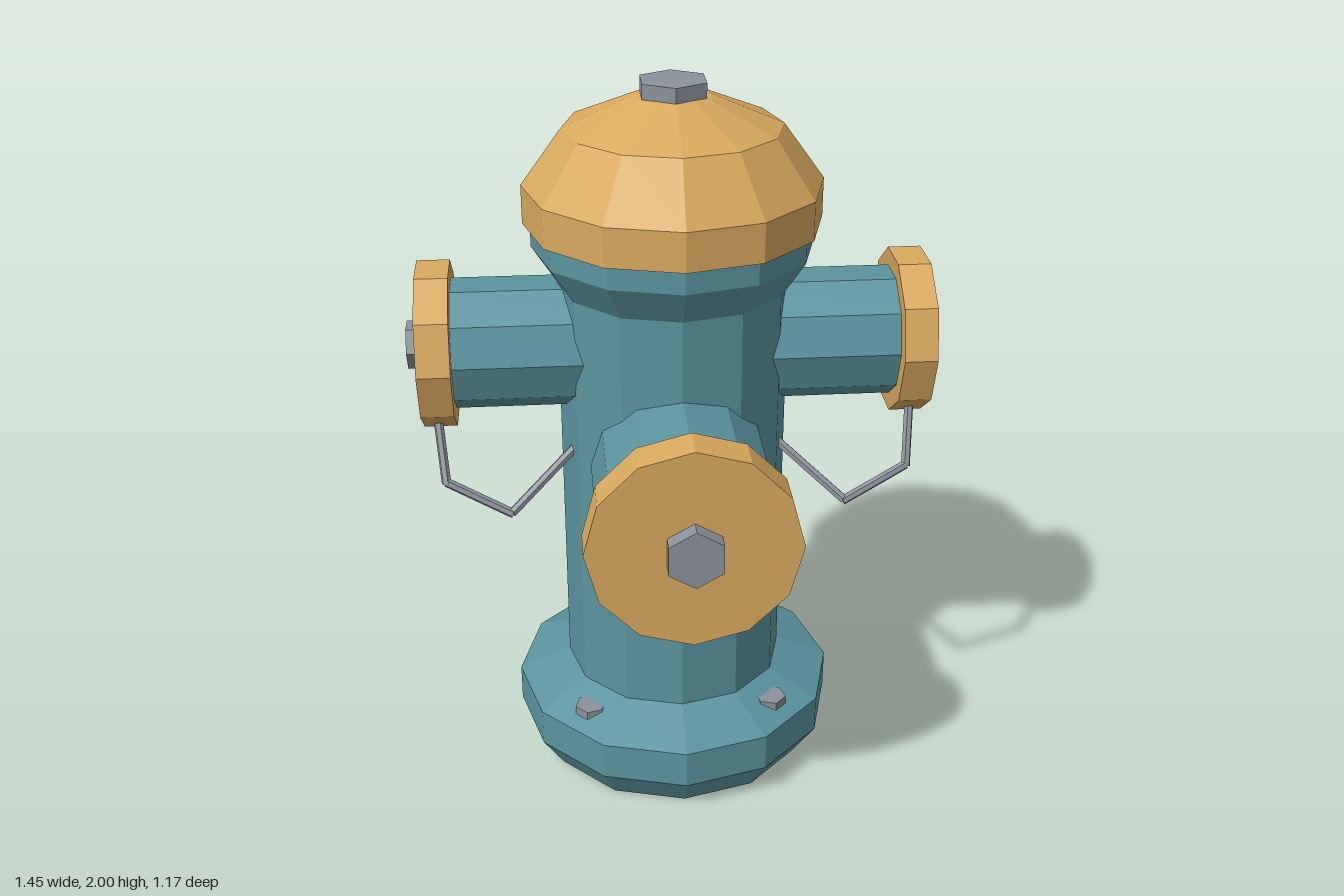
import * as THREE from 'three';

const paint = (color) => new THREE.MeshStandardMaterial({ color, flatShading: true });
const CZ = -0.12; // z of the barrel axis

export function createModel() {
  const teal = paint(0x5b949e), yellow = paint(0xd9a95f), steel = paint(0x8c929b);
  const model = new THREE.Group();
  model.name = 'fireHydrant';

  const add = (parent, name, geometry, material) => {
    const mesh = new THREE.Mesh(geometry, material);
    mesh.name = name;
    parent.add(mesh);
    return mesh;
  };
  const lathe = (points) =>
    new THREE.LatheGeometry(points.map(([r, y]) => new THREE.Vector2(r, y)), 12);
  // Prism along +y from y0 to y1
  const prism = (radius, y0, y1, sides) =>
    new THREE.CylinderGeometry(radius, radius, y1 - y0, sides).translate(0, (y0 + y1) / 2, 0);

  // Barrel with flared foot and collar
  add(model, 'barrel', lathe([
    [0, 0], [0.4, 0], [0.465, 0.1], [0.465, 0.21], [0.315, 0.275],
    [0.315, 1.46], [0.38, 1.56], [0.38, 1.64], [0, 1.64],
  ]), teal).position.z = CZ;

  // Domed bonnet and its nut
  add(model, 'bonnet', lathe([
    [0, 1.625], [0.4, 1.625], [0.4, 1.73], [0.29, 1.88], [0.1, 1.96], [0, 1.966],
  ]), yellow).position.z = CZ;
  add(model, 'bonnetNut', prism(0.096, 1.93, 2, 6), steel).position.z = CZ;

  // Bolts on the sloped foot, one flat facing outward
  for (let i = 0; i < 4; i++) {
    const a = Math.PI / 4 + (i * Math.PI) / 2;
    const bolt = add(model, 'footBolt', prism(0.045, 0.2, 0.253, 6), steel);
    bolt.position.set(Math.sin(a) * 0.37, 0, CZ + Math.cos(a) * 0.37);
    bolt.rotation.y = a + Math.PI / 6;
  }

  // Outlet built along +y: pipe, cap and cap nut
  const outlet = (name, sides, pipeR, capR, nutR, capStart, capEnd, nutEnd) => {
    const group = new THREE.Group();
    group.name = name;
    add(group, 'pipe', prism(pipeR, 0.05, capStart + 0.02, sides), teal);
    add(group, 'cap', prism(capR, capStart, capEnd, sides), yellow);
    add(group, 'capNut', prism(nutR, capEnd - 0.02, nutEnd, 6), steel);
    model.add(group);
    return group;
  };

  const front = outlet('frontOutlet', 12, 0.24, 0.277, 0.08, 0.56, 0.665, 0.71);
  front.position.set(0, 0.995, CZ);
  front.rotation.x = Math.PI / 2;

  // Side outlets with cap chains
  const chainPoints = [
    [0.65, 1.1, -0.025], [0.635, 0.95, 0.05], [0.46, 0.865, 0.085], [0.285, 1.0, -0.025],
  ];
  for (const side of [1, -1]) {
    const label = side > 0 ? 'left' : 'right';
    const arm = outlet(label + 'Outlet', 10, 0.178, 0.227, 0.066, 0.6, 0.69, 0.725);
    arm.position.set(0, 1.288, CZ);
    arm.rotation.z = (-side * Math.PI) / 2;

    const chain = new THREE.Group();
    chain.name = label + 'Chain';
    model.add(chain);
    const pts = chainPoints.map(([x, y, z]) => new THREE.Vector3(side * x, y, z));
    for (let i = 0; i < pts.length - 1; i++) {
      const dir = pts[i + 1].clone().sub(pts[i]);
      const rod = add(chain, 'chainRod', prism(0.013, 0, dir.length() + 0.005, 6), steel);
      rod.position.copy(pts[i]);
      rod.quaternion.setFromUnitVectors(new THREE.Vector3(0, 1, 0), dir.normalize());
    }
  }
  return model;
}
